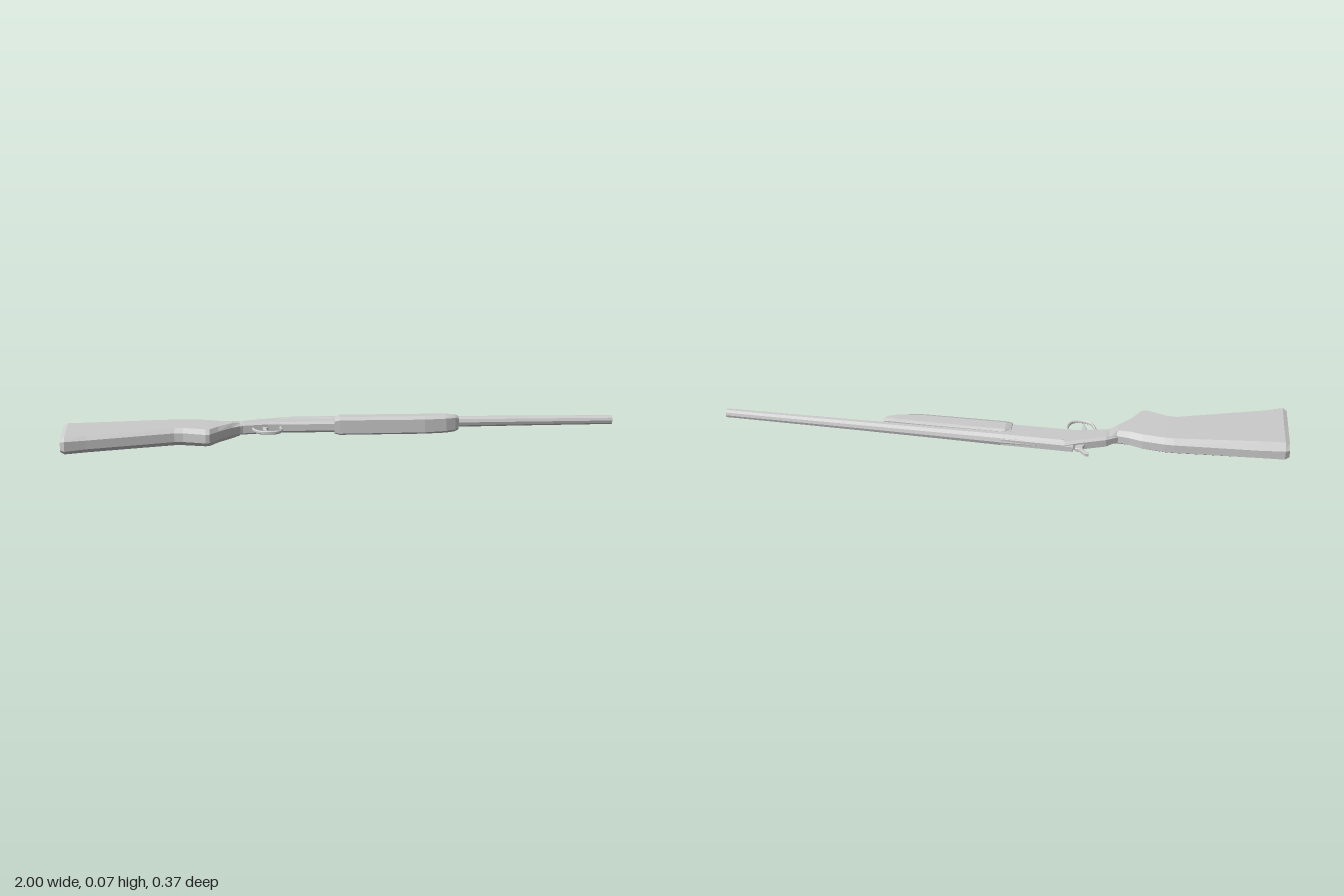
import * as THREE from 'three';

const MID = 0.035; // height of the symmetry plane
const AXIS = -0.132; // z of the barrel axis

const material = () => new THREE.MeshStandardMaterial({ color: 0xcccccc, flatShading: true });

function add(group, name, geometry, x = 0, y = 0, z = 0) {
  const mesh = new THREE.Mesh(geometry, material());
  mesh.name = name;
  mesh.position.set(x, y, z);
  group.add(mesh);
  return mesh;
}

// Lofts chamfered octagons along x.
// Station: [x at upper edge, x at lower edge, z upper, z lower, half width, flat width share, upper chamfer, lower chamfer]
function loft(stations) {
  const positions = [], index = [], n = 8;
  for (const [xa, xb, za, zb, w, f, ca, cb] of stations) {
    const ring = [[za, w * f], [za + ca, w], [zb - cb, w], [zb, w * f],
      [zb, -w * f], [zb - cb, -w], [za + ca, -w], [za, -w * f]];
    for (const [z, y] of ring) {
      positions.push(xa + (xb - xa) * (z - za) / (zb - za), MID + y, z);
    }
  }
  for (let s = 0; s < stations.length - 1; s++) {
    for (let i = 0; i < n; i++) {
      const a = s * n + i, b = s * n + (i + 1) % n;
      index.push(a, b, a + n, b, b + n, a + n);
    }
  }
  const last = (stations.length - 1) * n;
  for (let i = 1; i < n - 1; i++) {
    index.push(0, i + 1, i, last, last + i, last + i + 1);
  }
  const geometry = new THREE.BufferGeometry();
  geometry.setAttribute('position', new THREE.Float32BufferAttribute(positions, 3));
  geometry.setIndex(index);
  geometry.computeVertexNormals();
  return geometry;
}

// Extrudes an (x, z) outline evenly about the symmetry plane.
function plate(points, width, bevel = 0.002) {
  const shape = new THREE.Shape(points.map(([x, z]) => new THREE.Vector2(x, -z)));
  const depth = width - 2 * bevel;
  const geometry = new THREE.ExtrudeGeometry(shape, {
    depth, bevelEnabled: true, bevelSize: bevel, bevelThickness: bevel, bevelOffset: -bevel, bevelSegments: 1,
  });
  return geometry.translate(0, 0, -depth / 2).rotateX(-Math.PI / 2).translate(0, MID, 0);
}

export function createModel() {
  const model = new THREE.Group();
  model.name = 'longGun';

  // Shoulder stock with pistol grip
  add(model, 'stock', loft([
    [-1.0, -0.985, -0.068, 0.175, 0.023, 0.6, 0.03, 0.016],
    [-0.985, -0.97, -0.08, 0.182, 0.031, 0.55, 0.035, 0.02],
    [-0.9, -0.9, -0.086, 0.157, 0.031, 0.5, 0.035, 0.02],
    [-0.6, -0.6, -0.102, 0.067, 0.0315, 0.5, 0.02, 0.018],
    [-0.57, -0.57, -0.102, 0.068, 0.0315, 0.5, 0.02, 0.018],
    [-0.49, -0.49, -0.094, 0.095, 0.0305, 0.5, 0.02, 0.02],
    [-0.475, -0.475, -0.09, 0.092, 0.03, 0.5, 0.02, 0.02],
    [-0.445, -0.445, -0.082, 0.043, 0.029, 0.5, 0.02, 0.02],
    [-0.4, -0.4, -0.075, -0.012, 0.028, 0.5, 0.015, 0.015],
    [-0.375, -0.37, -0.092, -0.036, 0.023, 0.6, 0.015, 0.015],
  ]));

  // Receiver with sloping tang
  add(model, 'receiver', loft([
    [-0.405, -0.39, -0.075, -0.025, 0.016, 0.6, 0.01, 0.01],
    [-0.365, -0.36, -0.105, -0.042, 0.02, 0.7, 0.01, 0.008],
    [-0.27, -0.27, -0.139, -0.06, 0.02, 0.7, 0.012, 0.008],
    [-0.225, -0.225, -0.157, -0.063, 0.02, 0.6, 0.014, 0.008],
    [0.0, 0.0, -0.155, -0.063, 0.02, 0.6, 0.014, 0.008],
  ]));

  // Forend under the barrel
  add(model, 'forend', loft([
    [-0.03, -0.03, -0.122, -0.063, 0.026, 0.8, 0.012, 0.012],
    [-0.01, -0.01, -0.126, -0.062, 0.033, 0.75, 0.006, 0.018],
    [0.3, 0.3, -0.126, -0.064, 0.033, 0.72, 0.006, 0.018],
    [0.38, 0.38, -0.124, -0.078, 0.033, 0.7, 0.006, 0.016],
    [0.415, 0.415, -0.122, -0.094, 0.031, 0.7, 0.006, 0.012],
    [0.428, 0.428, -0.12, -0.103, 0.024, 0.7, 0.005, 0.007],
  ]));

  // Tapered, open barrel with a short bore
  const profile = [[0, -0.22], [0.024, -0.22], [0.025, 0.0], [0.022, 0.22], [0.02, 0.43],
    [0.018, 0.7], [0.0165, 1.0], [0.0115, 1.0], [0.0115, 0.85], [0, 0.85]];
  const barrel = new THREE.LatheGeometry(profile.map(([r, x]) => new THREE.Vector2(r, x)), 10);
  barrel.rotateZ(-Math.PI / 2);
  add(model, 'barrel', barrel, 0, MID, AXIS);

  // Trigger guard loop
  const guard = new THREE.CatmullRomCurve3([
    [-0.325, -0.05], [-0.317, -0.022], [-0.298, 0.004], [-0.265, 0.012], [-0.234, 0.003], [-0.221, -0.025], [-0.226, -0.062],
  ].map(([x, z]) => new THREE.Vector3(x, 0, z)));
  const guardGeometry = new THREE.TubeGeometry(guard, 20, 0.0045, 6);
  guardGeometry.scale(1, 1.5, 1);
  add(model, 'triggerGuard', guardGeometry, 0, MID, 0);

  // Curved trigger
  add(model, 'trigger', plate([[-0.29, -0.06], [-0.268, -0.06], [-0.276, -0.035], [-0.271, -0.01],
    [-0.277, -0.007], [-0.288, -0.03]], 0.01));

  // Hammer with thumb spur
  add(model, 'hammer', plate([[-0.295, -0.12], [-0.262, -0.13], [-0.262, -0.16], [-0.278, -0.163],
    [-0.287, -0.172], [-0.302, -0.185], [-0.313, -0.183], [-0.311, -0.174], [-0.297, -0.166], [-0.288, -0.152]], 0.015));

  // Block in front of the hammer
  add(model, 'breechLatch', new THREE.BoxGeometry(0.03, 0.02, 0.03), -0.24, MID, -0.145);

  return model;
}
